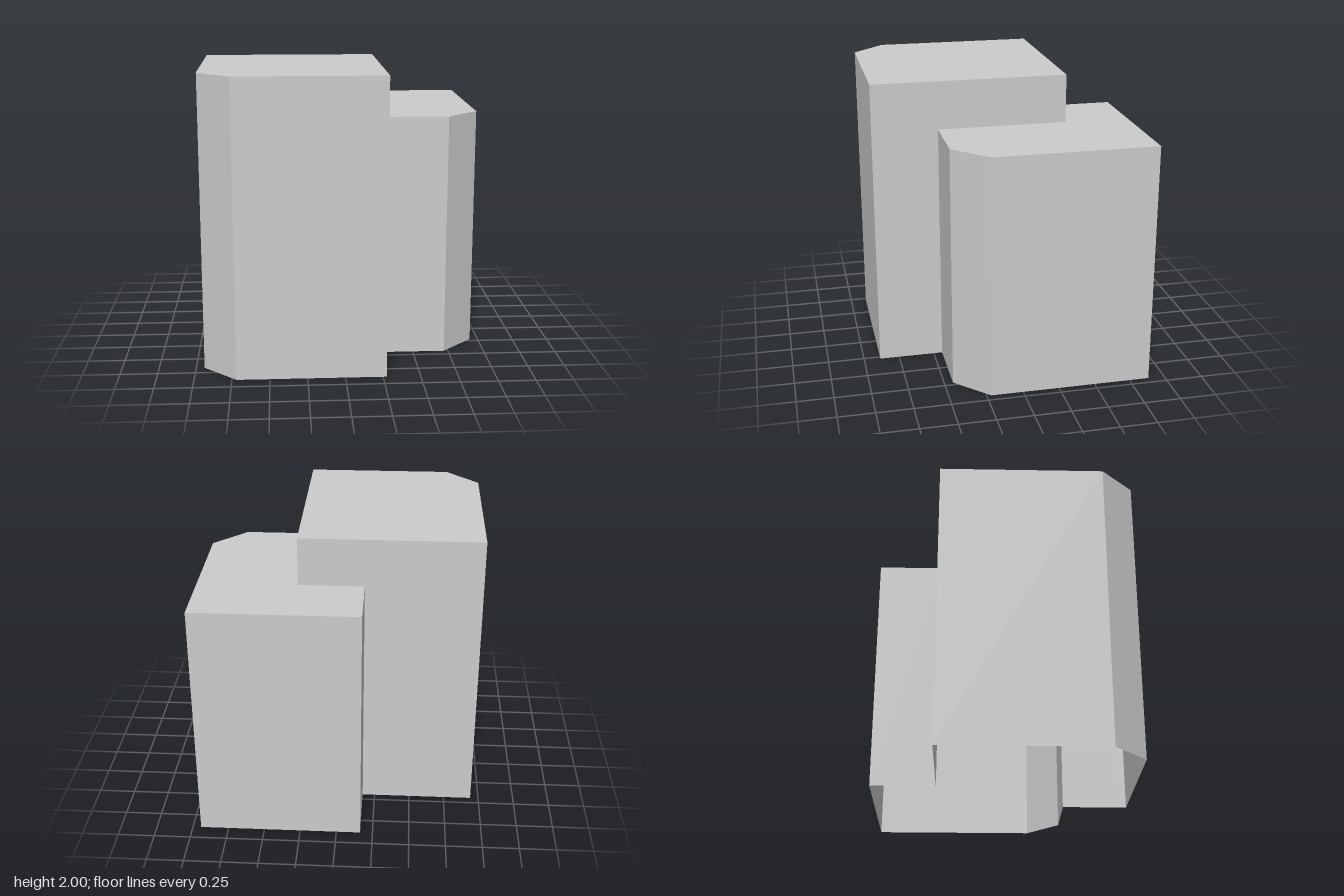
import * as THREE from 'three';

const material = new THREE.MeshStandardMaterial({ color: 0xcccccc, flatShading: true, side: THREE.DoubleSide });

// Upright wall strip along an [x, z] path, facing outward.
function wall(path, y0, y1) {
  const pos = [];
  for (let i = 0; i < path.length - 1; i++) {
    const [ax, az] = path[i], [bx, bz] = path[i + 1];
    pos.push(ax, y0, az, bx, y0, bz, bx, y1, bz, ax, y0, az, bx, y1, bz, ax, y1, az);
  }
  const g = new THREE.BufferGeometry();
  g.setAttribute('position', new THREE.Float32BufferAttribute(pos, 3));
  g.computeVertexNormals();
  return g;
}

// Flat roof filling an [x, z] outline at height y.
function roof(outline, y) {
  const shape = new THREE.Shape(outline.map(([x, z]) => new THREE.Vector2(x, -z)));
  return new THREE.ShapeGeometry(shape).rotateX(-Math.PI / 2).translate(0, y, 0);
}

export function createModel() {
  const group = new THREE.Group();
  group.name = 'twinTowerBuilding';
  const add = (name, geometry) => {
    const mesh = new THREE.Mesh(geometry, material);
    mesh.name = name;
    group.add(mesh);
  };

  const tall = 2, low = 1.67;
  // The corners where the two footprints meet, and the tall tower's corner between them
  const frontJoint = [0.275, 0.44], backJoint = [-0.165, -0.443], tallCorner = [0.275, -0.443];

  const tallPath = [backJoint, [-0.943, -0.443], [-0.943, 0.664], [-0.721, 0.886], [0.275, 0.886], frontJoint];
  const lowPath = [frontJoint, [0.721, 0.44], [0.943, 0.22], [0.943, -0.886], [-0.165, -0.886], backJoint];

  // Outer walls form one hollow shell, open underneath
  add('tallTowerWalls', wall(tallPath, 0, tall));
  add('lowTowerWalls', wall(lowPath, 0, low));

  // Part of the tall tower rising above the lower roof
  add('tallTowerStep', wall([frontJoint, tallCorner, backJoint], low, tall));

  // Roofs
  add('tallTowerRoof', roof([...tallPath, tallCorner], tall));
  add('lowTowerRoof', roof([...lowPath, tallCorner], low));

  return group;
}
